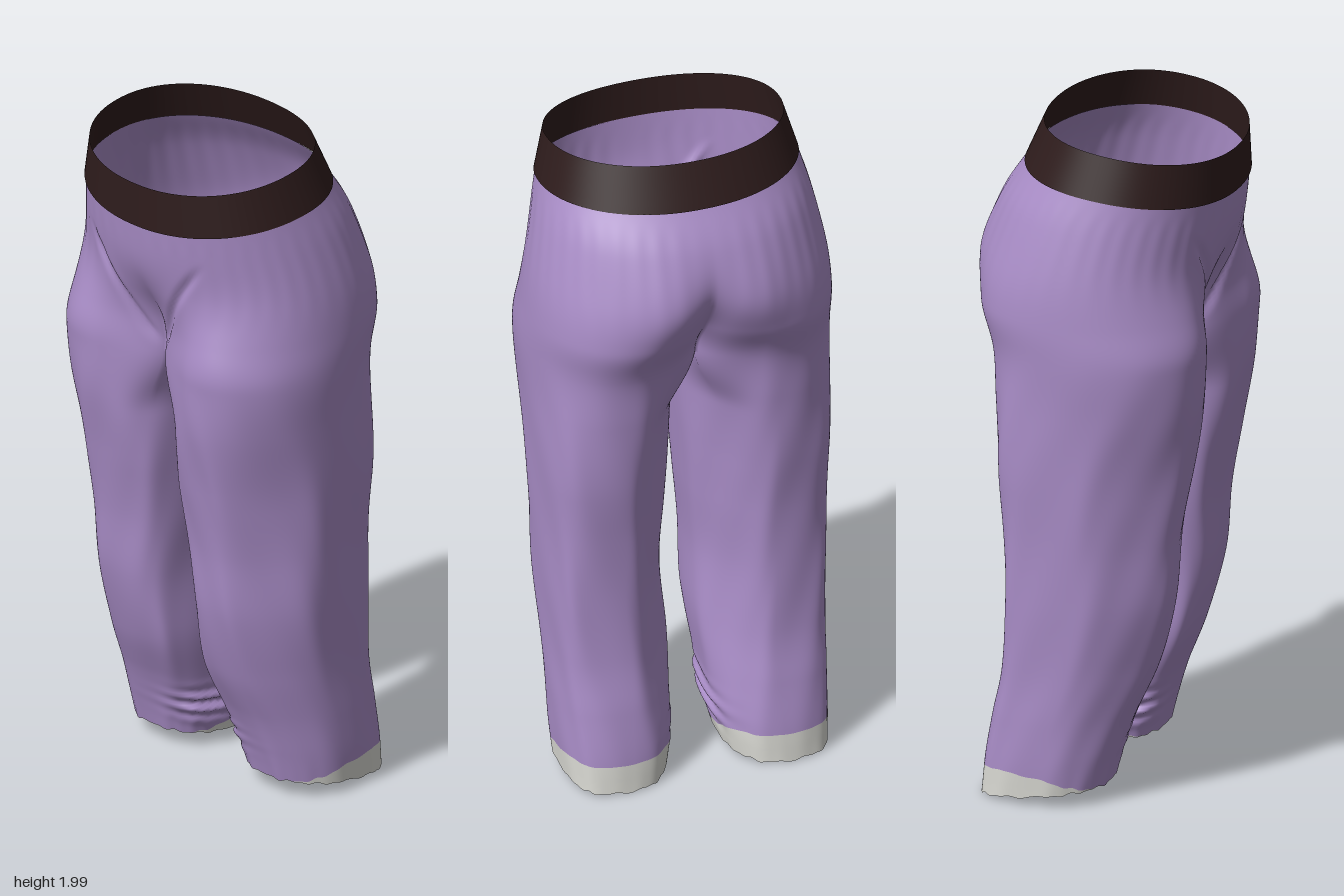
import * as THREE from 'three';
import { mergeGeometries, mergeVertices } from 'three/addons/utils/BufferGeometryUtils.js';

const { smoothstep, lerp, degToRad } = THREE.MathUtils;
const sgnPow = (v, e) => Math.sign(v) * Math.abs(v) ** e;
const bump = (v, centre, width) => Math.exp(-(((v - centre) / width) ** 2));

// Profile down one side: height, inner x, outer x, front z, back z
const KEYS = [
  [1.868, 0, 0.374, 0.36, -0.24],
  [1.75, 0, 0.402, 0.348, -0.315],
  [1.6, 0, 0.43, 0.328, -0.358],
  [1.48, 0, 0.443, 0.316, -0.342],
  [1.36, 0, 0.448, 0.326, -0.29],
  [1.2, 0.016, 0.44, 0.32, -0.275],
  [1.0, 0.025, 0.43, 0.285, -0.26],
  [0.8, 0.038, 0.42, 0.25, -0.24],
  [0.6, 0.054, 0.413, 0.23, -0.235],
  [0.4, 0.048, 0.402, 0.18, -0.245],
  [0.25, 0.058, 0.4, 0.12, -0.275],
  [0.13, 0.066, 0.398, 0.085, -0.3],
  [0.035, 0.085, 0.392, 0.06, -0.31],
];
const xCurve = new THREE.CatmullRomCurve3(KEYS.map(k => new THREE.Vector3(k[0], k[1], k[2])), false, 'catmullrom');
const zCurve = new THREE.CatmullRomCurve3(KEYS.map(k => new THREE.Vector3(k[0], k[3], k[4])), false, 'catmullrom');

const CROTCH = 4 / 12;   // share of the profile above the crotch
const COLS = 162;        // columns around a whole leg
const OUTER = 126;       // columns from front seam to back seam, round the outside
const START = degToRad(140);
const angleAt = c => START - (c / COLS) * Math.PI * 2;

// The waist dips towards the front
const waistDrop = z => 0.08 * z + 0.2 * z * z;

// Half of a rounded waist section
function waistPoint(a, xOut, zf, zb) {
  const cz = (zf + zb) / 2, rz = (zf - zb) / 2;
  return [xOut * Math.max(0, Math.cos(a)) ** 0.94, cz + rz * sgnPow(Math.sin(a), 0.94)];
}

// Point of the cloth at profile share s and column c
function clothPoint(s, c) {
  const p = xCurve.getPoint(s), q = zCurve.getPoint(s);
  let y = p.x;
  const xIn = p.y, xOut = p.z, zf = q.y, zb = q.z;
  const th = angleAt(c), seam = c === 0 || c === OUTER;
  const xc = (xIn + xOut) / 2, rx = (xOut - xIn) / 2;
  const cz = (zf + zb) / 2, rz = (zf - zb) / 2;

  // Leg section, pressed to the middle line near the crotch
  const d = c < OUTER ? Math.min(c, OUTER - c) / COLS : 0;
  const away = Math.sin(Math.PI / 2 * Math.min(1, d / 0.1));
  const free = 1 - smoothstep(y, 1.15, 1.36) * (1 - away);
  // Lower legs are fuller at the outer back and inner front
  const skew = lerp(0.12, 0.38, smoothstep(y, 0.05, 0.45)) * (1 - smoothstep(y, 0.95, 1.4));
  const e = lerp(0.8, 0.96, smoothstep(y, 0, 1)) + skew * Math.sin(2 * th);
  const lx = (xc + rx * sgnPow(Math.cos(th), e)) * free;
  const lz = cz + rz * sgnPow(Math.sin(th), e);

  // Blend from hip section to leg section
  const t = s >= CROTCH - 1e-6 ? 1 : (1 - smoothstep(y, 1.36, 1.8)) ** 2;
  const [hx, hz] = waistPoint(th * 90 / 140, xOut, zf, zb);
  let x = lerp(hx, lx, t), z = lerp(hz, lz, t);

  // Soft diagonal folds
  const legs = 1 - smoothstep(y, 1.1, 1.5);
  let fold = 0.006 * legs * Math.sin(5 * th + 9 * y) + 0.005 * legs * Math.sin(11 * th - 13 * y);
  fold += 0.003 * smoothstep(y, 1.5, 1.7) * (1 - smoothstep(y, 1.78, 1.85)) * Math.sin(26 * th);
  // Crumpled cloth inside the ankle
  const turn = Math.atan2(Math.sin(th - 2.8), Math.cos(th - 2.8));
  fold += 0.08 * Math.sin(y * 125 + 2 * th) * bump(y, 0.14, 0.05) * bump(turn, 0, 0.6);
  x += (x - xc) * fold * free;
  z += (z - cz) * fold * free;
  if (seam && s <= CROTCH + 1e-6) x = 0;

  const front = smoothstep(z, cz, cz + 0.2), back = smoothstep(-z, -cz, 0.2 - cz);
  // Slanting creases from hip to crotch, above full thighs
  const rise = (y - 1.36) / 0.39;
  const fade = smoothstep(rise, 0.02, 0.2) * (1 - smoothstep(rise, 0.75, 1.05));
  z -= front * 0.012 * fade * bump(x, 0.215 * rise, 0.016);
  z += front * 0.014 * bump(x, 0.25, 0.1) * bump(y, 1.46, 0.1);
  // Seat and its cleft
  z -= back * 0.02 * bump(x, 0.14, 0.1) * bump(y, 1.58, 0.14);
  z += back * 0.014 * bump(x, 0, 0.05) * bump(y, 1.52, 0.14);

  // Sloping waist and hem
  y -= waistDrop(z) * smoothstep(y, 1.5, 1.86);
  const hem = 1 - smoothstep(p.x, 0.035, 0.3);
  y += hem * 0.13 * (z + 0.13) + hem ** 6 * 0.002 * (Math.sin(13 * th) + Math.sin(22 * th + 1));
  return [x, y, z];
}

// Surface from a grid of points
function grid(rows, cols, fn) {
  const pos = [], idx = [];
  for (let r = 0; r <= rows; r++)
    for (let c = 0; c <= cols; c++) pos.push(...fn(r / rows, c));
  for (let r = 0; r < rows; r++)
    for (let c = 0; c < cols; c++) {
      const a = r * (cols + 1) + c, b = a + 1, d = a + cols + 1, e = d + 1;
      idx.push(a, d, b, b, d, e);
    }
  const g = new THREE.BufferGeometry();
  g.setAttribute('position', new THREE.Float32BufferAttribute(pos, 3));
  g.setIndex(idx);
  return g;
}

function mirrored(g) {
  const m = g.clone().scale(-1, 1, 1), ix = m.index;
  for (let i = 0; i < ix.count; i += 3) {
    const k = ix.getX(i);
    ix.setX(i, ix.getX(i + 1));
    ix.setX(i + 1, k);
  }
  return m;
}

// Join parts with their mirror images into one smooth surface
function weld(parts) {
  const g = mergeVertices(mergeGeometries(parts.flatMap(p => [p, mirrored(p)])), 1e-4);
  g.computeVertexNormals();
  return g;
}

export function createModel() {
  const make = (name, color) => {
    const m = new THREE.MeshStandardMaterial({ color, side: THREE.DoubleSide });
    m.name = name;
    return m;
  };
  const purple = make('purple cloth', 0xa98dc7);
  const brown = make('dark brown band', 0x2e1c1c);
  const grey = make('pale grey trim', 0xdadad4);

  const group = new THREE.Group();
  group.name = 'trousers';
  const add = (name, geometry, material) => {
    const mesh = new THREE.Mesh(geometry, material);
    mesh.name = name;
    group.add(mesh);
  };

  // Hips and legs; the trim is deepest at the back of each hem
  const trimTop = c => 1 - 0.07 * lerp(0.02, 1, smoothstep(-Math.sin(angleAt(c) - 0.15), -0.85, 0.65));
  const hips = grid(40, OUTER, (v, c) => clothPoint(v * CROTCH, c));
  const wrap = c => c % COLS;
  const leg = grid(90, COLS, (v, c) => clothPoint(lerp(CROTCH, trimTop(wrap(c)), v), wrap(c)));
  add('trouserCloth', weld([hips, leg]), purple);

  // Hem trim
  const trim = grid(4, COLS, (v, c) => clothPoint(lerp(trimTop(wrap(c)), 1, v), wrap(c)));
  add('hemTrim', weld([trim]), grey);

  // Waistband, overlapping the top edge of the cloth
  const band = grid(5, 64, (v, c) => {
    const a = Math.PI / 2 - (c / 64) * Math.PI;
    const [x, z] = waistPoint(a, lerp(0.345, 0.379, v), lerp(0.36, 0.364, v), lerp(-0.195, -0.251, v));
    return [c % 64 ? x : 0, lerp(1.988, 1.86, v) - waistDrop(z), z];
  });
  add('waistband', weld([band]), brown);

  return group;
}
